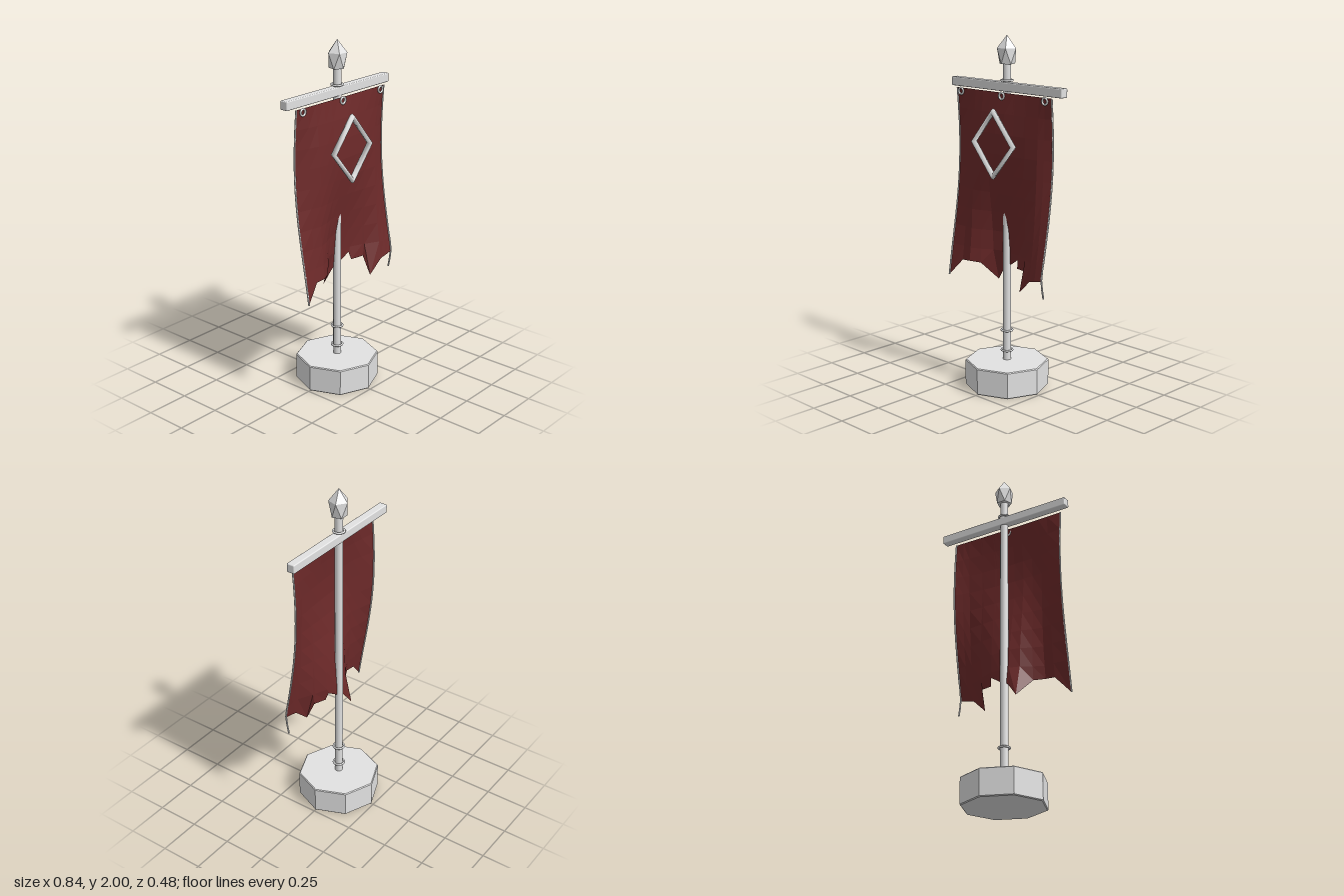
import * as THREE from 'three';
import { RoundedBoxGeometry } from 'three/addons/geometries/RoundedBoxGeometry.js';
import { ConvexGeometry } from 'three/addons/geometries/ConvexGeometry.js';

const V = (x, y, z) => new THREE.Vector3(x, y, z);
const TOP = 1.69, HALF = 0.36;

// Depth of the hanging cloth: billowing middle that tucks in against the pole,
// edges that dip back then swing forward, and a growing fold on each half
function clothZ(x, y) {
  const t = TOP - y;
  const mid = 0.036 + 0.03 * Math.sin(Math.PI * t / 0.6) - 0.015 * t ** 4;
  const edge = 0.032 - 0.023 * Math.sin(Math.PI * t / 0.8) + 0.047 * t * t;
  const s = Math.min(1, Math.abs(x) / HALF) ** 1.5;
  const fold = (c, height) => height * t * Math.exp(-(((x - c) / 0.09) ** 2));
  return mid + (edge - mid) * s + fold(-0.2, 0.055) + fold(0.26, 0.042);
}

// Facet a geometry with hard edges
function faceted(geo) {
  const g = geo.index ? geo.toNonIndexed() : geo;
  g.computeVertexNormals();
  return g;
}

function clothGeometry() {
  // Torn hem: x, bottom y, extra depth at the tip
  const hem = [
    [-0.36, 0.61, 0], [-0.27, 0.71, 0], [-0.21, 0.715, 0], [-0.15, 0.71, 0],
    [-0.09, 0.61, -0.05], [-0.03, 0.69, -0.01], [0.03, 0.72, 0], [0.09, 0.76, 0],
    [0.1, 0.715, 0.01], [0.175, 0.72, 0], [0.185, 0.61, 0.03], [0.27, 0.69, 0],
    [0.31, 0.7, 0], [0.36, 0.71, 0],
  ];
  const rows = 9, pos = [], idx = [];
  for (const [x, bottom, dz] of hem) {
    for (let r = 0; r < rows; r++) {
      const y = TOP - (TOP - 0.79) * r / (rows - 1);
      pos.push(x, y, clothZ(x, y));
    }
    pos.push(x, bottom, clothZ(x, bottom) + dz);
  }
  const n = rows + 1;
  for (let c = 0; c < hem.length - 1; c++) {
    for (let r = 0; r < rows; r++) {
      const a = c * n + r, b = a + n;
      idx.push(a, a + 1, b, b, a + 1, b + 1);
    }
  }
  const g = new THREE.BufferGeometry();
  g.setAttribute('position', new THREE.Float32BufferAttribute(pos, 3));
  g.setIndex(idx);
  return faceted(g);
}

// Pointed, faceted cap built from two staggered five-sided rings and an apex
function finialGeometry() {
  const pts = [V(0, 2, 0)];
  for (const [r, y, turn] of [[0.055, 1.93, 0.5], [0.045, 1.845, 0]]) {
    for (let i = 0; i < 5; i++) {
      const a = (i + turn) / 5 * Math.PI * 2;
      pts.push(V(r * Math.sin(a), y, r * Math.cos(a)));
    }
  }
  return faceted(new ConvexGeometry(pts));
}

export function createModel() {
  const group = new THREE.Group();
  const metal = new THREE.MeshStandardMaterial({ color: 0xe2e2e2 });
  metal.name = 'pale metal';
  const red = new THREE.MeshStandardMaterial({ color: 0x6e2a2a, side: THREE.DoubleSide });
  red.name = 'dark red cloth';

  const add = (name, geo, mat, x = 0, y = 0, z = 0) => {
    const m = new THREE.Mesh(geo, mat);
    m.name = name;
    m.position.set(x, y, z);
    group.add(m);
    return m;
  };

  // Octagonal base with a slim bevel
  const profile = [[0, 0], [0.233, 0], [0.238, 0.005], [0.238, 0.15], [0.233, 0.155], [0, 0.155]]
    .map(([r, y]) => new THREE.Vector2(r, y));
  add('base', faceted(new THREE.LatheGeometry(profile, 8)), metal);

  // Pole with its collars and pointed cap
  add('pole', new THREE.CylinderGeometry(0.023, 0.023, 1.7, 12), metal, 0, 1.0, 0);
  for (const y of [0.21, 0.33, 1.755]) {
    add('poleCollar', new THREE.TorusGeometry(0.031, 0.006, 8, 20), metal, 0, y, 0).rotation.x = Math.PI / 2;
  }
  add('finial', finialGeometry(), metal);

  // Crossbar
  add('crossbar', new RoundedBoxGeometry(0.84, 0.05, 0.048, 2, 0.006), metal, 0, 1.72, -0.001);

  // Torn banner, its edge cords (the left one curls back at its loose end) and its hanging rings
  add('bannerCloth', clothGeometry(), red);
  for (const side of [-1, 1]) {
    const path = [];
    for (let i = 0; i <= 10; i++) {
      const y = TOP - 1.08 * i / 10;
      const curl = side > 0 && i === 10 ? 0.035 : 0;
      path.push(V(side * HALF, y, clothZ(side * HALF, y) - curl));
    }
    add('edgeCord', new THREE.TubeGeometry(new THREE.CatmullRomCurve3(path), 20, 0.005, 6), metal);
  }
  for (const x of [-0.32, 0, 0.32]) {
    add('hangingRing', new THREE.TorusGeometry(0.018, 0.006, 8, 16), metal, x, 1.673, 0.043);
  }

  // Diamond frame standing just in front of the cloth
  add('diamondFrame', new THREE.TorusGeometry(0.179, 0.018, 6, 4), metal, 0, 1.415, 0.107).scale.x = 0.84;

  return group;
}
